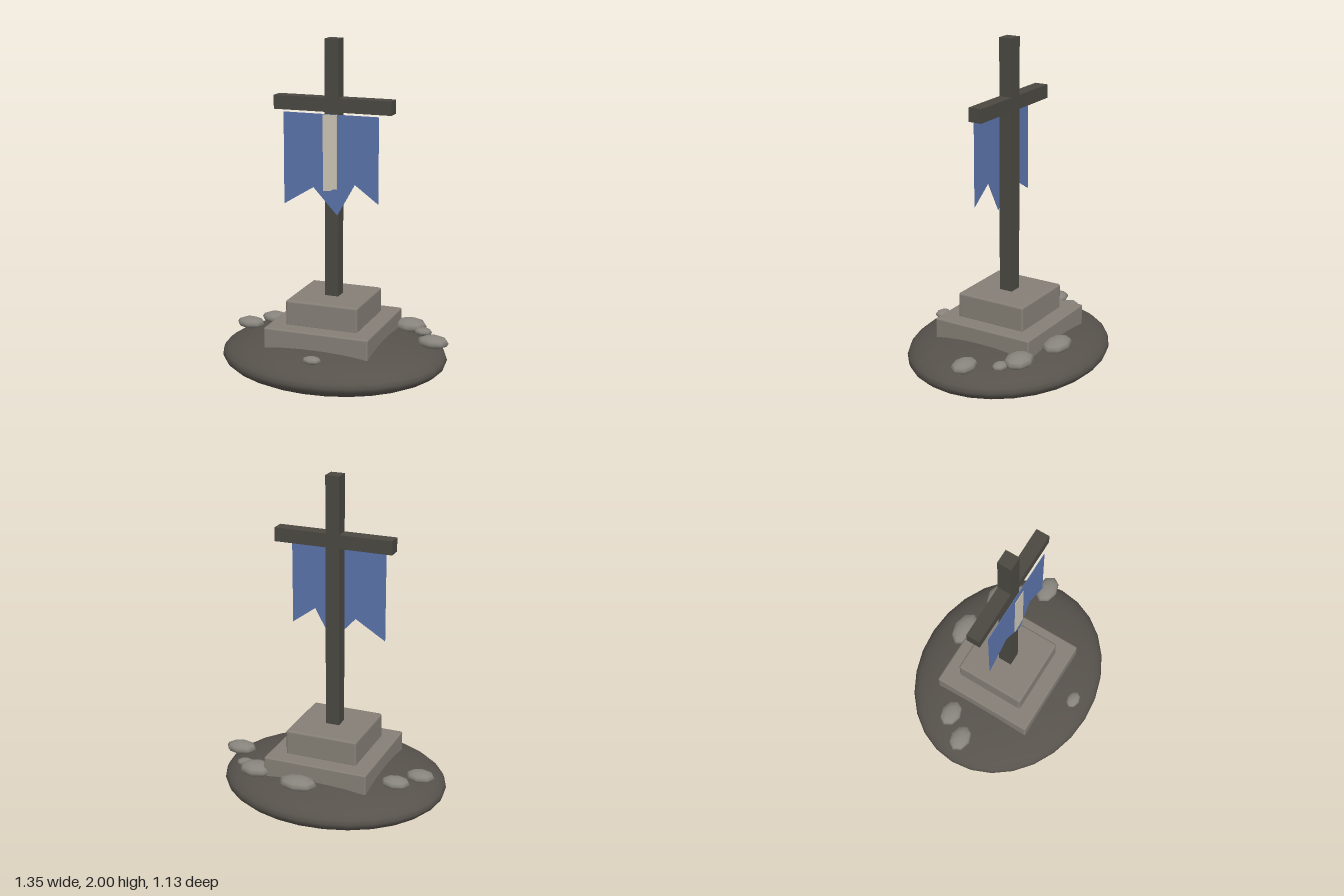
import * as THREE from 'three';
import { RoundedBoxGeometry } from 'three/addons/geometries/RoundedBoxGeometry.js';

const CX = -0.004; // shared centre line of the monument

function material(name, color, side = THREE.FrontSide) {
  const m = new THREE.MeshStandardMaterial({ color, side });
  m.name = name;
  return m;
}

export function createModel() {
  const group = new THREE.Group();
  const earth = material('dark earth', 0x57524c);
  const stone = material('cut stone', 0x857f76);
  const rock = material('grey rock', 0x88847d);
  const wood = material('dark wood', 0x4b4842);
  const blue = material('blue cloth', 0x5b73ab, THREE.DoubleSide);
  const cream = material('cream cloth', 0xcdc5b6, THREE.DoubleSide);

  function add(name, geometry, mat, x, y, z) {
    const mesh = new THREE.Mesh(geometry, mat);
    mesh.name = name;
    mesh.position.set(x, y, z);
    group.add(mesh);
    return mesh;
  }

  // Flattened earth mound
  add('mound', new THREE.SphereGeometry(1, 28, 18), earth, CX, 0.15, 0)
    .scale.set(0.671, 0.145, 0.566);

  // Two stone steps with softened edges
  add('lowerStep', new RoundedBoxGeometry(0.63, 0.17, 0.63, 2, 0.01), stone, CX, 0.285, -0.004);
  add('upperStep', new RoundedBoxGeometry(0.435, 0.155, 0.435, 2, 0.013), stone, CX, 0.4375, -0.004);

  // Wooden post and crossbar
  add('post', new THREE.BoxGeometry(0.082, 1.5, 0.082), wood, CX, 1.25, 0);
  add('crossbar', new THREE.BoxGeometry(0.703, 0.08, 0.08), wood, CX, 1.63, 0);

  // Hanging cloth with a ragged hem
  function cloth(name, points, mat, z) {
    const shape = new THREE.Shape(points.map(([x, y]) => new THREE.Vector2(x, y)));
    const geometry = new THREE.ExtrudeGeometry(shape, { depth: 0.003, bevelEnabled: false });
    add(name, geometry, mat, 0, 0, z);
  }
  cloth('banner', [
    [-0.29, 1.58], [-0.29, 1.045], [-0.11, 1.155], [0.035, 1.0],
    [0.14, 1.187], [0.28, 1.085], [0.28, 1.58],
  ], blue, 0.05);
  cloth('bannerStripe', [
    [-0.046, 1.58], [-0.046, 1.14], [0, 1.145], [0.016, 1.155], [0.038, 1.155], [0.038, 1.58],
  ], cream, 0.066);

  // Faceted rocks: x, y, z, then radii
  const rocks = [
    [0.075, 0.275, -0.37, 0.115, 0.04, 0.075],
    [0.372, 0.275, -0.295, 0.103, 0.042, 0.08],
    [0.471, 0.265, -0.233, 0.055, 0.023, 0.041],
    [0.58, 0.27, -0.067, 0.094, 0.038, 0.066],
    [-0.44, 0.273, -0.15, 0.085, 0.034, 0.063],
    [-0.545, 0.27, -0.017, 0.085, 0.034, 0.063],
    [0.033, 0.267, 0.45, 0.055, 0.022, 0.04],
  ];
  const rockGeometry = new THREE.SphereGeometry(1, 8, 6);
  rocks.forEach(([x, y, z, rx, ry, rz], i) => {
    add(`rock${i + 1}`, rockGeometry, rock, x, y, z).scale.set(rx, ry, rz);
  });

  return group;
}
